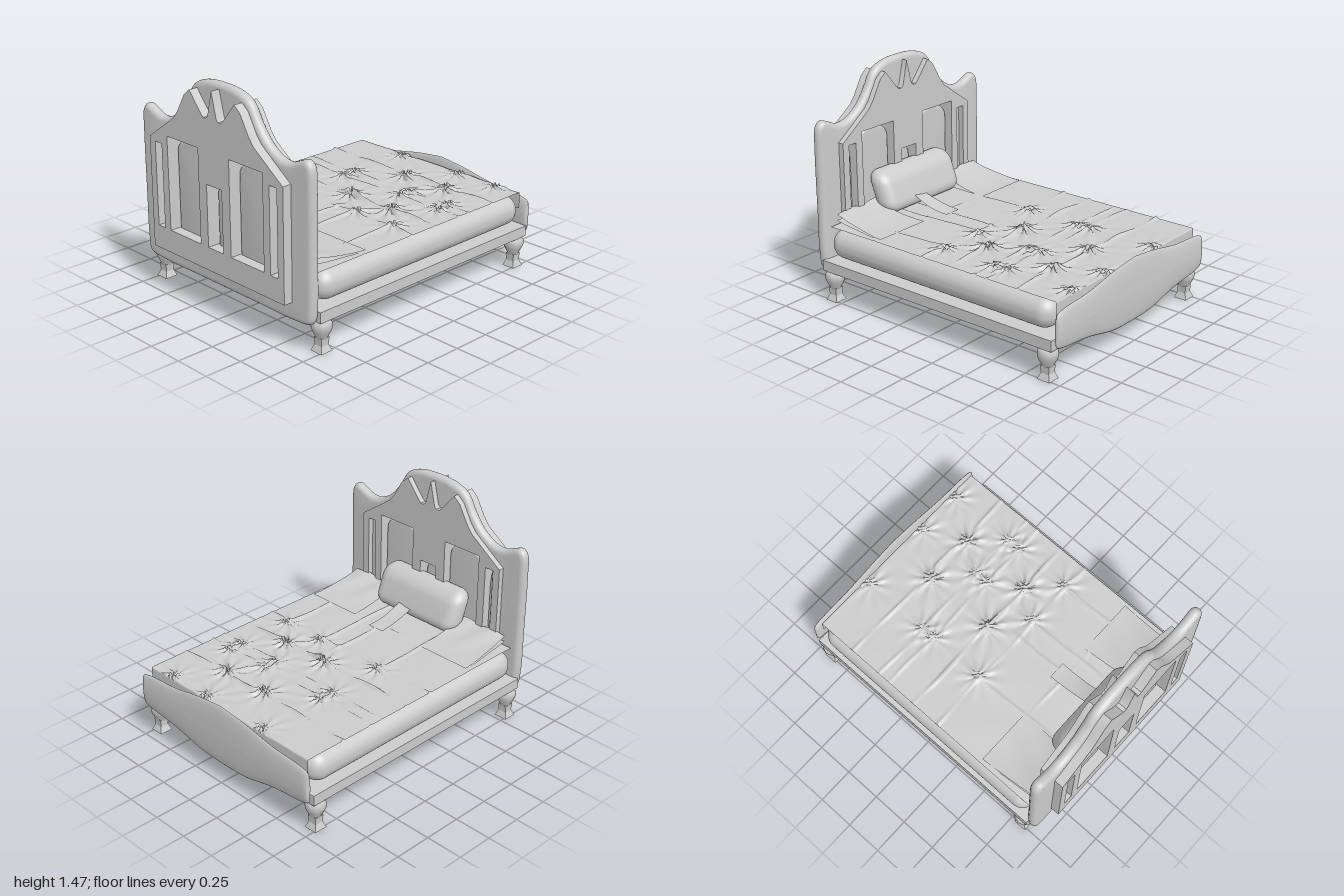
import * as THREE from 'three';
import { toCreasedNormals } from 'three/addons/utils/BufferGeometryUtils.js';
import { RoundedBoxGeometry } from 'three/addons/geometries/RoundedBoxGeometry.js';

const grey = new THREE.MeshStandardMaterial({ color: 0xcccccc });
const thin = new THREE.MeshStandardMaterial({ color: 0xcccccc, side: THREE.DoubleSide });

const v2 = ([a, b]) => new THREE.Vector2(a, b);

// Mirror a half outline (from top centre to bottom centre) about the axis
const mirrored = (half) => [
  ...half,
  ...half.slice().reverse().filter(([a]) => a > 0).map(([a, b]) => [-a, b]),
];

// Smooth closed outline through points
function smoothOutline(points, n) {
  const curve = new THREE.CatmullRomCurve3(points.map(([a, b]) => new THREE.Vector3(a, b, 0)), true);
  return curve.getPoints(n).slice(0, -1).map((p) => new THREE.Vector2(p.x, p.y));
}

// Upright board: shape lies in the z-y plane, thickness runs from x0 to x1
function board(outline, holes, x0, x1, bevel, bevelSize = bevel) {
  const shape = new THREE.Shape(outline);
  shape.holes = holes.map((h) => new THREE.Path(h));
  const geo = new THREE.ExtrudeGeometry(shape, {
    depth: x1 - x0 - 2 * bevel, bevelEnabled: bevel > 0, bevelThickness: bevel,
    bevelSize, bevelOffset: -bevelSize, bevelSegments: 5,
  });
  geo.translate(0, 0, x0 + bevel).rotateY(Math.PI / 2);
  return toCreasedNormals(geo, 0.7);
}

// Arched panel outline
function arch(c, half, bottom, top, rise) {
  const pts = [v2([c - half, bottom]), v2([c + half, bottom])];
  for (let i = 0; i <= 12; i++) {
    const a = (i / 12) * Math.PI;
    pts.push(v2([c + half * Math.cos(a), top - rise + rise * Math.sin(a)]));
  }
  return pts;
}

// Cushion-edged footboard lofted along z from oval sections
function footboardGeometry() {
  const top = new THREE.CatmullRomCurve3([[0, 0.543], [0.2, 0.52], [0.45, 0.475], [0.68, 0.457], [0.76, 0.44]]
    .map(([z, y]) => new THREE.Vector3(z, y, 0)));
  const low = new THREE.CatmullRomCurve3([[0, 0.123], [0.2, 0.132], [0.45, 0.185], [0.68, 0.21], [0.76, 0.225]]
    .map(([z, y]) => new THREE.Vector3(z, y, 0)));
  const rows = 64, sides = 24, pos = [], idx = [];
  for (let i = 0; i <= rows; i++) {
    const s = Math.sin((i / rows - 0.5) * Math.PI), t = Math.abs(s);
    const a = top.getPoint(t), b = low.getPoint(t);
    const end = Math.pow(Math.max(0, 1 - Math.pow(t, 24)), 0.5);
    const mid = (a.y + b.y) / 2, h = ((a.y - b.y) / 2) * (0.8 + 0.2 * end);
    for (let j = 0; j <= sides; j++) {
      const q = (j / sides) * Math.PI * 2;
      pos.push(0.976 + 0.023 * end * Math.cos(q), mid + h * Math.sin(q), Math.sign(s) * a.x);
    }
  }
  for (let i = 0; i < rows; i++) for (let j = 0; j < sides; j++) {
    const a = i * (sides + 1) + j, b = a + sides + 1;
    idx.push(a, a + 1, b, a + 1, b + 1, b);
  }
  const geo = new THREE.BufferGeometry();
  geo.setAttribute('position', new THREE.Float32BufferAttribute(pos, 3));
  geo.setIndex(idx);
  geo.computeVertexNormals();
  return geo;
}

// Creases and gathered tufts of the bedding
const bell = (d, w) => Math.exp(-(d * d) / (w * w));
const step = THREE.MathUtils.smoothstep;
const crossCreases = [[-0.47, 0.008], [-0.07, 0.012], [0.13, 0.024], [0.34, 0.01], [0.43, 0.01], [0.66, 0.018]];
const longCreases = [-0.3, 0.07, 0.21, 0.53];
const tufts = [];
for (const z of [-0.3, 0.21, 0.53]) tufts.push([-0.05, z], [0.34, z], [0.44, z], [0.9, z]);
for (const z of [-0.01, 0.34]) tufts.push([0.13, z], [0.63, z]);

function blanketHeight(x, z) {
  let h = 0.492 + 0.002 * Math.sin(9 * x + 4 * z) * Math.cos(11 * z);
  for (const [cx, k] of crossCreases) {
    h += k * bell(x - cx - 0.006 * Math.sin(9 * z + cx * 20), 0.009) * (0.55 + 0.45 * Math.sin(14 * z + cx * 9));
  }
  for (const cz of longCreases) {
    h += 0.012 * bell(z - cz - 0.008 * Math.sin(8 * x), 0.01) * (1 - step(x, -0.1, 0.1));
  }
  tufts.forEach(([cx, cz], i) => {
    const dx = x - cx, dz = z - cz, r = Math.hypot(dx, dz);
    if (r > 0.3) return;
    const a = Math.atan2(dz, dx), k = i > 11 ? 1.5 : 0.9;
    const fold = Math.pow(Math.abs(Math.cos(4 * a + i + 9 * r)), 5);
    h += k * (0.026 * bell(r, 0.06) * fold + 0.007 * bell(r, 0.13) * Math.cos(9 * a + 2 * i));
  });
  return h;
}

function blanketGeometry() {
  const geo = new THREE.PlaneGeometry(1.9, 1.43, 210, 150).rotateX(-Math.PI / 2).translate(0.1, 0, 0);
  const p = geo.attributes.position;
  for (let i = 0; i < p.count; i++) {
    const x = p.getX(i), z = p.getZ(i), over = Math.max(0, x - 0.94);
    p.setXYZ(i, Math.min(x, 0.94), blanketHeight(Math.min(x, 0.94), z) - over, z);
  }
  geo.computeVertexNormals();
  return geo;
}

// Loose turned-back sheet sloping up to the headboard
function sheetGeometry(width, length, rise, seed) {
  const geo = new THREE.PlaneGeometry(length, width, 24, 24).rotateX(-Math.PI / 2);
  const p = geo.attributes.position;
  for (let i = 0; i < p.count; i++) {
    const u = 0.5 - p.getX(i) / length, z = p.getZ(i);
    p.setY(i, rise * u * u + 0.007 * u * Math.sin(26 * z + seed + 5 * u));
    p.setZ(i, z * (1 - 0.12 * u));
  }
  geo.computeVertexNormals();
  return geo;
}

export function createModel() {
  const bed = new THREE.Group();
  const add = (name, geo, mat = grey, x = 0, y = 0, z = 0) => {
    const m = new THREE.Mesh(geo, mat);
    m.name = name;
    m.position.set(x, y, z);
    bed.add(m);
    return m;
  };

  // Rounded headboard surround
  const surround = mirrored([[0, 1.468], [0.15, 1.455], [0.25, 1.41], [0.32, 1.3], [0.4, 1.205], [0.5, 1.145],
    [0.58, 1.138], [0.65, 1.165], [0.71, 1.185], [0.75, 1.15], [0.76, 1.0], [0.76, 0.6], [0.757, 0.3],
    [0.735, 0.2], [0.6, 0.178], [0.3, 0.178], [0, 0.178]]);
  const opening = mirrored([[0.18, 1.24], [0.3, 1.2], [0.42, 1.1], [0.55, 1.0], [0.55, 0.4]]).map(v2);
  add('headboardSurround', board(smoothOutline(surround, 130), [opening], -0.94, -0.868, 0.034));

  // Thick slotted headboard panel with a notched crest
  const panel = mirrored([[0, 1.435], [0.04, 1.275], [0.055, 1.26], [0.08, 1.26], [0.1, 1.28], [0.2, 1.4],
    [0.25, 1.36], [0.32, 1.24], [0.36, 1.19], [0.43, 1.14], [0.5, 1.09], [0.6, 1.02], [0.6, 0.3]]).map(v2);
  const slot = (c, half, top) => [[c - half, 0.45], [c + half, 0.45], [c + half, top], [c - half, top]].map(v2);
  const slots = [slot(0, 0.068, 0.85)];
  for (const s of [-1, 1]) slots.push(slot(s * 0.285, 0.145, 1.058), slot(s * 0.517, 0.031, 0.997));
  add('headboardPanel', board(panel, slots, -1, -0.83, 0));

  // Rounded infill pieces inside the slots
  add('centreInfill', board(arch(0, 0.055, 0.42, 0.84, 0.06), [], -0.93, -0.88, 0.02, 0.012));
  for (const s of [-1, 1]) {
    add('wideInfill', board(arch(s * 0.285, 0.145, 0.42, 1.052, 0.1), [], -0.93, -0.88, 0.02));
    add('narrowInfill', board(arch(s * 0.517, 0.03, 0.42, 0.98, 0.15), [], -0.93, -0.88, 0.02, 0.008));
  }

  add('footboard', footboardGeometry());
  add('baseFrame', new THREE.BoxGeometry(1.83, 0.07, 1.54), grey, 0.035, 0.238);
  add('mattress', new RoundedBoxGeometry(1.76, 0.196, 1.51, 5, 0.092), grey, 0.035, 0.388);
  add('blanket', blanketGeometry(), thin);

  // Turned-back sheets beside the pillow
  for (const s of [-1, 1]) {
    add('foldedSheet', sheetGeometry(0.4, 0.4, 0.07, s), thin, -0.64, 0.502, s * 0.49);
    add('lowerSheet', sheetGeometry(0.36, 0.34, 0.035, 2 * s), thin, -0.67, 0.498, s * 0.51);
  }
  add('crumpledSheet', sheetGeometry(0.12, 0.34, 0.09, 2), thin, -0.57, 0.505, 0.06);

  // Pillow leaning against the headboard
  const pillow = new RoundedBoxGeometry(0.17, 0.27, 0.7, 6, 0.083);
  const pp = pillow.attributes.position;
  for (let i = 0; i < pp.count; i++) pp.setX(i, pp.getX(i) - 0.38 * pp.getY(i));
  pillow.computeVertexNormals();
  add('pillow', toCreasedNormals(pillow, 1), grey, -0.785, 0.628);

  // Turned legs on flared square feet
  const turned = new THREE.LatheGeometry([[0.03, 0.07], [0.036, 0.09], [0.055, 0.125], [0.066, 0.155],
    [0.064, 0.185], [0.05, 0.205], [0, 0.205]].map(v2), 10);
  const foot = new THREE.CylinderGeometry(0.04, 0.064, 0.04, 4).rotateY(Math.PI / 4).translate(0, 0.02, 0);
  const ankle = new THREE.CylinderGeometry(0.045, 0.04, 0.05, 4).rotateY(Math.PI / 4).translate(0, 0.063, 0);
  for (const x of [-0.825, 0.89]) for (const z of [-0.72, 0.72]) {
    add('leg', turned, thin, x, 0, z);
    add('foot', toCreasedNormals(foot, 0.5), grey, x, 0, z);
    add('ankle', toCreasedNormals(ankle, 0.5), grey, x, 0, z);
  }
  return bed;
}
